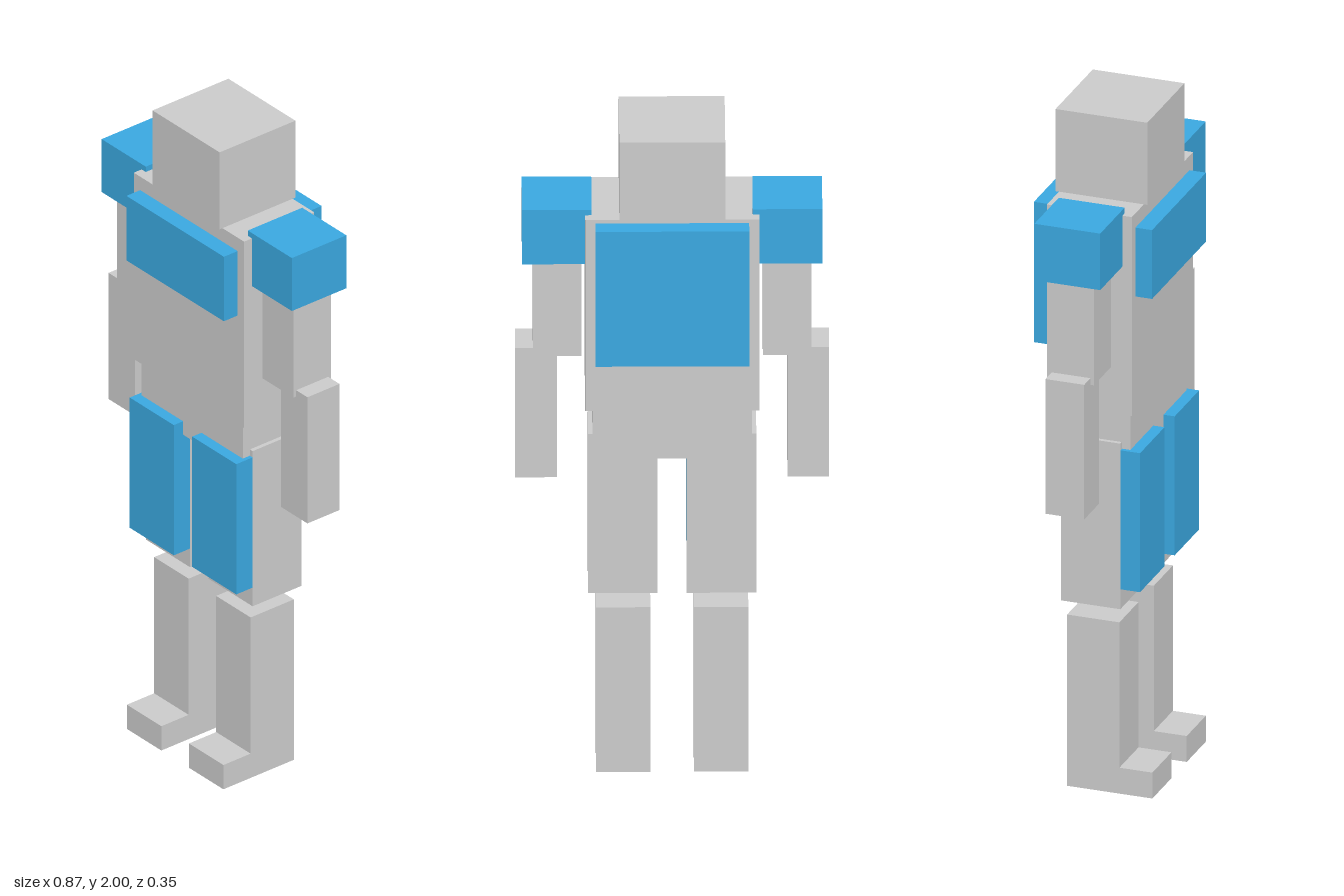
import * as THREE from 'three';

const grey = new THREE.MeshStandardMaterial({ color: 0xcccccc, flatShading: true });
const blue = new THREE.MeshStandardMaterial({ color: 0x3aa8e0, flatShading: true });

// Box given by its [min, max] extent along each axis
function block(name, [x0, x1], [y0, y1], [z0, z1], material = grey) {
  const mesh = new THREE.Mesh(new THREE.BoxGeometry(x1 - x0, y1 - y0, z1 - z0), material);
  mesh.position.set((x0 + x1) / 2, (y0 + y1) / 2, (z0 + z1) / 2);
  mesh.name = name;
  return mesh;
}

export function createModel() {
  const model = new THREE.Group();
  model.name = 'armouredFigure';

  // Head and trunk
  model.add(
    block('head', [-0.146, 0.146], [1.753, 2], [-0.135, 0.135]),
    block('torso', [-0.24, 0.24], [1.155, 1.753], [-0.125, 0.125]),
    block('pelvis', [-0.22, 0.22], [1.0, 1.155], [-0.113, 0.113]),
    block('chestPlate', [-0.212, 0.212], [1.503, 1.71], [0.125, 0.174], blue),
    block('backPlate', [-0.212, 0.212], [1.32, 1.742], [-0.174, -0.125], blue),
  );

  // Limbs, mirrored left and right
  for (const [side, s] of [['left', 1], ['right', -1]]) {
    const span = (a, b) => (s > 0 ? [a, b] : [-b, -a]);

    const arm = new THREE.Group();
    arm.name = side + 'Arm';
    arm.add(
      block(side + 'ShoulderPad', span(0.222, 0.414), [1.6, 1.77], [-0.097, 0.097], blue),
      block(side + 'UpperArm', span(0.25, 0.384), [1.297, 1.7], [-0.067, 0.067]),
      block(side + 'Forearm', span(0.318, 0.433), [0.912, 1.317], [-0.057, 0.057]),
    );

    const leg = new THREE.Group();
    leg.name = side + 'Leg';
    leg.add(
      block(side + 'Thigh', span(0.04, 0.232), [0.565, 1.063], [-0.087, 0.088]),
      block(side + 'ThighPlate', span(0.04, 0.232), [0.625, 1.043], [0.088, 0.146], blue),
      block(side + 'Shin', span(0.06, 0.21), [0, 0.515], [-0.077, 0.077]),
      block(side + 'Foot', span(0.06, 0.21), [0, 0.078], [0.077, 0.174]),
    );
    model.add(arm, leg);
  }
  return model;
}
